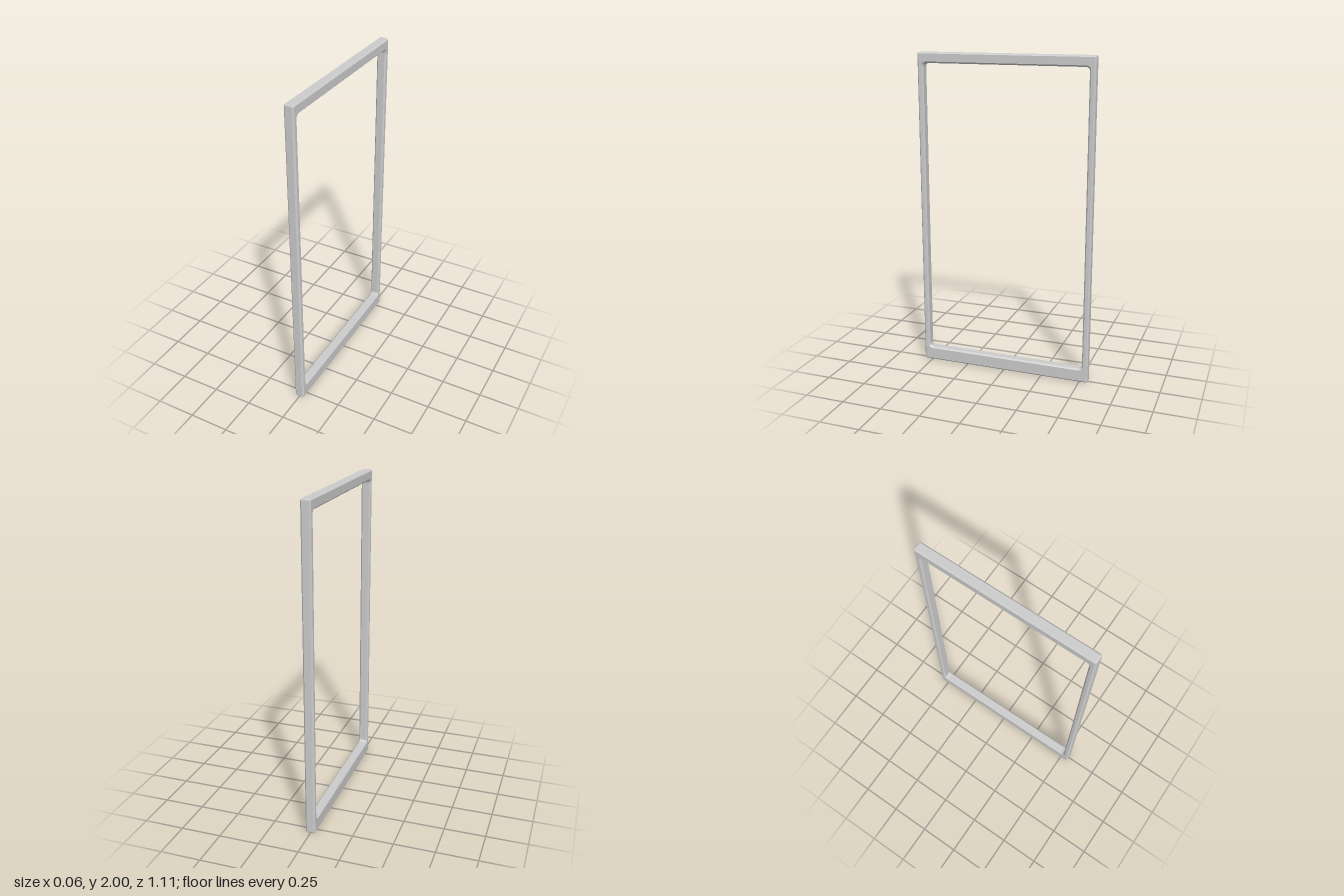
import * as THREE from 'three';

// Traces a rectangle with small rounded corners
function roundedRect(path, halfWidth, bottom, top, r) {
  const w = halfWidth;
  path.moveTo(-w + r, bottom);
  path.lineTo(w - r, bottom);
  path.quadraticCurveTo(w, bottom, w, bottom + r);
  path.lineTo(w, top - r);
  path.quadraticCurveTo(w, top, w - r, top);
  path.lineTo(-w + r, top);
  path.quadraticCurveTo(-w, top, -w, top - r);
  path.lineTo(-w, bottom + r);
  path.quadraticCurveTo(-w, bottom, -w + r, bottom);
  return path;
}

export function createModel() {
  const group = new THREE.Group();
  group.name = 'rectangularFrame';
  const thickness = 0.06;
  const bevel = 0.009;

  // Outer outline with the opening: slim sides, deeper top and bottom rails
  const outline = roundedRect(new THREE.Shape(), 0.553, 0, 2, 0.012);
  outline.holes.push(roundedRect(new THREE.Path(), 0.516, 0.087, 1.935, 0.022));

  // Chamfered on both faces, along the outer and inner edges
  const geometry = new THREE.ExtrudeGeometry(outline, {
    depth: thickness - 2 * bevel,
    bevelEnabled: true,
    bevelThickness: bevel,
    bevelSize: bevel,
    bevelOffset: -bevel,
    bevelSegments: 1,
    curveSegments: 3,
  });
  geometry.translate(0, 0, -(thickness / 2 - bevel));
  geometry.rotateY(Math.PI / 2);

  const frame = new THREE.Mesh(
    geometry,
    new THREE.MeshStandardMaterial({ color: 0xcccccc })
  );
  frame.name = 'frame';
  group.add(frame);
  return group;
}
